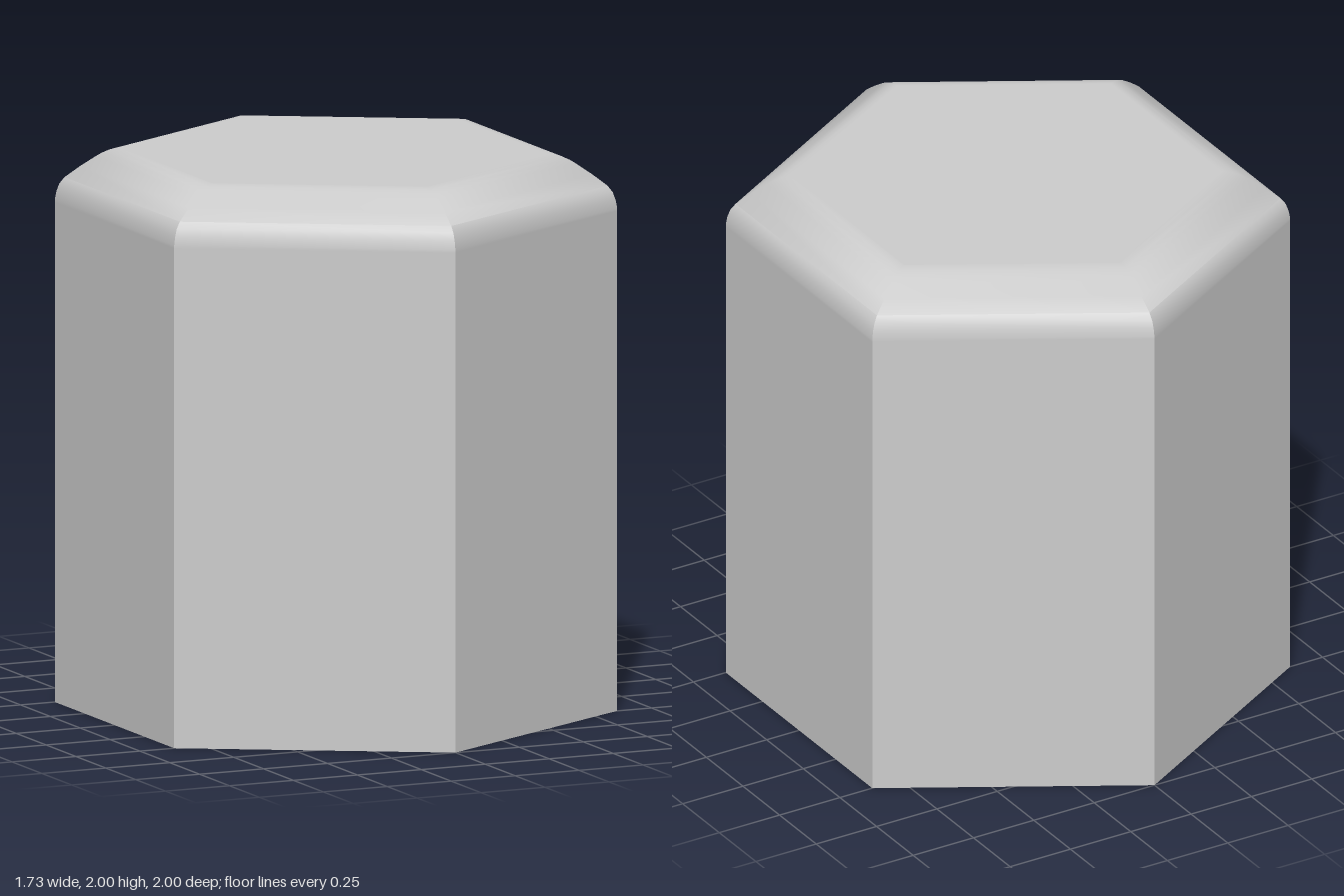
import * as THREE from 'three';
import { toCreasedNormals } from 'three/addons/utils/BufferGeometryUtils.js';

const SIDES = 6;
const APOTHEM = Math.cos(Math.PI / SIDES); // flat-to-centre distance for corner radius 1

export function createModel() {
  const group = new THREE.Group();
  group.name = 'hexagonalColumn';

  // Half section through a flat side: [inset from the wall, height]
  const section = [
    [APOTHEM, 0], [0, 0],                       // base
    [0, 1.8], [0, 1.81],                        // wall, with a support ring under the bevel
    [0.005, 1.84], [0.014, 1.868], [0.03, 1.891],
    [0.078, 1.932], [0.127, 1.969],             // sloping middle of the bevel
    [0.146, 1.982], [0.17, 1.994], [0.196, 2],
    [0.206, 2], [APOTHEM, 2],                   // support ring and flat top
  ];
  const profile = section.map(([inset, y]) => new THREE.Vector2((APOTHEM - inset) / APOTHEM, y));

  // Six-sided lathe: corners on the z axis, hard vertical edges, soft bevel
  const column = new THREE.Mesh(
    toCreasedNormals(new THREE.LatheGeometry(profile, SIDES), 0.7),
    new THREE.MeshStandardMaterial({ color: 0xcccccc })
  );
  column.name = 'column';
  group.add(column);
  return group;
}
